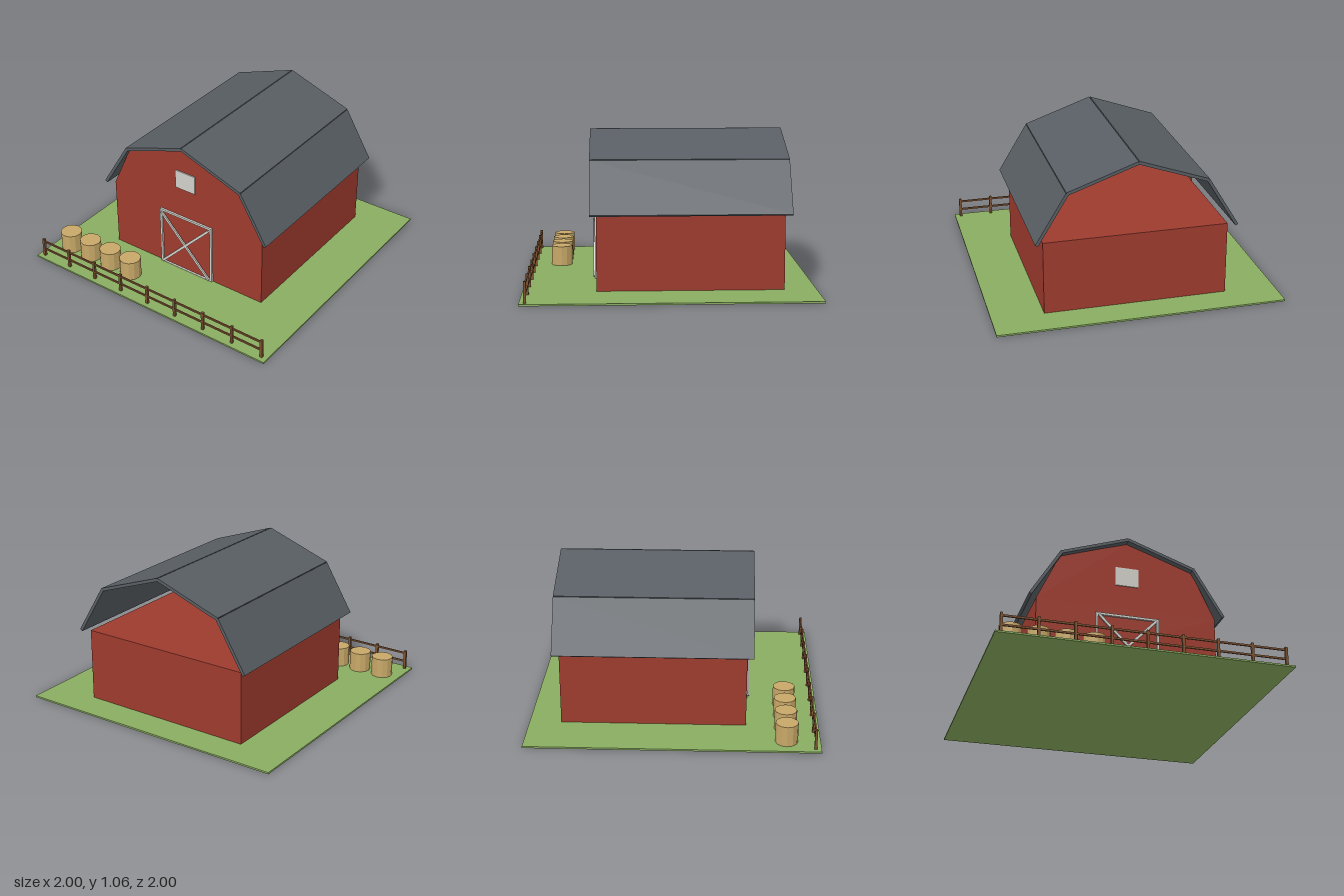
import * as THREE from 'three';

const mat = (name, color, side = THREE.FrontSide) => {
  const m = new THREE.MeshStandardMaterial({ color, side });
  m.name = name;
  return m;
};

export function createModel() {
  const root = new THREE.Group();
  root.name = 'barnyard';
  const grass = mat('grass green', 0x8aad60);
  const red = mat('barn red', 0x9e3b2e, THREE.DoubleSide);
  const slate = mat('roof grey', 0x585e63);
  const trim = mat('trim white', 0xd2d0ca);
  const straw = mat('straw', 0xc8a868);
  straw.flatShading = true;
  const wood = mat('fence brown', 0x7d5230);

  const add = (parent, name, geo, material, x, y, z) => {
    const m = new THREE.Mesh(geo, material);
    m.name = name;
    m.position.set(x, y, z);
    parent.add(m);
    return m;
  };
  const box = (parent, name, material, w, h, d, x, y, z) =>
    add(parent, name, new THREE.BoxGeometry(w, h, d), material, x, y, z);
  const group = (name) => {
    const g = new THREE.Group();
    g.name = name;
    root.add(g);
    return g;
  };
  // Bar laid between two points in the xy plane
  const bar = (parent, name, material, a, b, thick, depth, z) => {
    const dx = b[0] - a[0], dy = b[1] - a[1];
    const m = box(parent, name, material, Math.hypot(dx, dy), thick, depth,
      (a[0] + b[0]) / 2, (a[1] + b[1]) / 2, z);
    m.rotation.z = Math.atan2(dy, dx);
  };

  box(root, 'ground', grass, 2, 0.012, 2, 0, 0.006, 0);

  // Barn walls, with a gambrel gable on the front only
  const barn = group('barn');
  box(barn, 'walls', red, 1.28, 0.525, 1.28, 0, 0.2675, -0.14);
  const gable = new THREE.Shape([
    [-0.64, 0.53], [0.64, 0.53], [0.48, 0.875], [0, 1.035], [-0.48, 0.875],
  ].map(([x, y]) => new THREE.Vector2(x, y)));
  add(barn, 'frontGable', new THREE.ShapeGeometry(gable), red, 0, 0, 0.5);

  // Four roof panels, mirrored about the ridge
  const roof = group('roof');
  for (const s of [-1, 1]) {
    bar(roof, 'upperRoofPanel', slate, [0, 1.05], [s * 0.483, 0.88], 0.022, 1.37, -0.14);
    bar(roof, 'lowerRoofPanel', slate, [s * 0.48, 0.88], [s * 0.69, 0.535], 0.022, 1.37, -0.14);
  }

  // Loft window
  box(root, 'loftWindow', trim, 0.166, 0.14, 0.009, 0, 0.77, 0.503);

  // Door frame and cross braces
  const door = group('door');
  for (const s of [-1, 1]) {
    box(door, 'doorPost', trim, 0.016, 0.466, 0.015, s * 0.217, 0.237, 0.5075);
    bar(door, 'crossBrace', trim, [-s * 0.205, 0.025], [s * 0.205, 0.45], 0.018, 0.012, 0.521);
  }
  box(door, 'doorHeader', trim, 0.45, 0.016, 0.015, 0, 0.462, 0.5075);
  box(door, 'doorSill', trim, 0.45, 0.012, 0.015, 0, 0.009, 0.5075);

  // Row of round hay bales
  const bales = group('hayBales');
  for (let i = 0; i < 4; i++) {
    add(bales, 'hayBale', new THREE.CylinderGeometry(0.077, 0.077, 0.153, 12), straw,
      -0.86 + i * 0.185, 0.0785, 0.77);
  }

  // Post and rail fence
  const fence = group('fence');
  for (let i = -4; i <= 4; i++) {
    box(fence, 'fencePost', wood, 0.018, 0.153, 0.018, i * 0.239, 0.0785, 0.96);
  }
  for (const y of [0.07, 0.135]) {
    box(fence, 'fenceRail', wood, 1.92, 0.013, 0.01, 0, y, 0.96);
  }
  return root;
}
